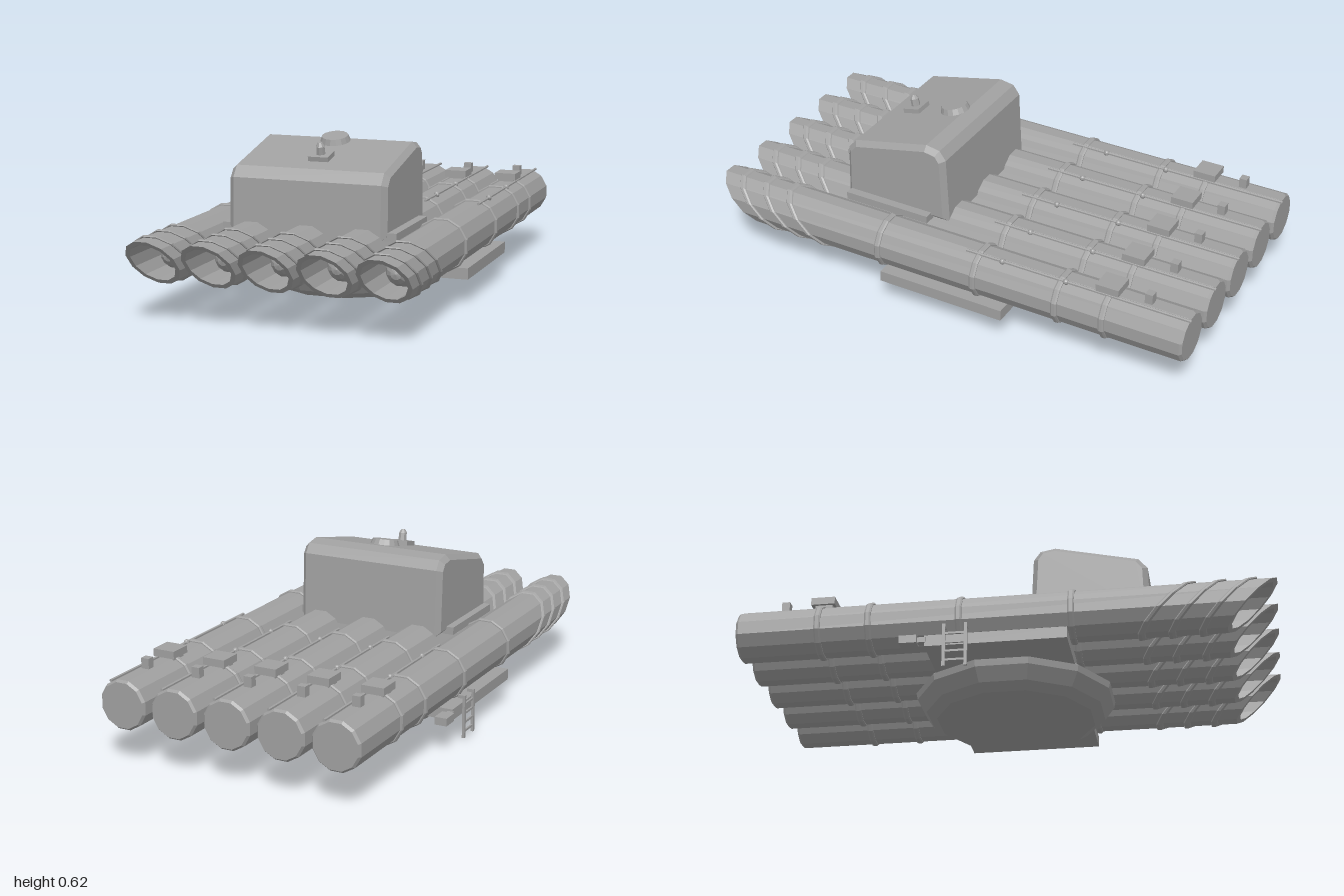
import * as THREE from 'three';

const SIDES = 12;
const TUBE_Y = 0.228;
const TUBE_XS = [-0.423, -0.209, 0.006, 0.221, 0.436];

export function createModel() {
  const model = new THREE.Group();
  const grey = new THREE.MeshStandardMaterial({ color: 0xa0a0a0, flatShading: true });
  grey.name = 'metal grey';

  const add = (parent, name, geo, x = 0, y = 0, z = 0) => {
    const mesh = new THREE.Mesh(geo, grey);
    mesh.name = name;
    mesh.position.set(x, y, z);
    parent.add(mesh);
    return mesh;
  };
  const box = (parent, name, x0, x1, y0, y1, z0, z1) => add(parent, name,
    new THREE.BoxGeometry(x1 - x0, y1 - y0, z1 - z0), (x0 + x1) / 2, (y0 + y1) / 2, (z0 + z1) / 2);

  // Lathe about the z axis; points are [radius, z], with a flat facet on top
  const latheZ = (pts) => new THREE.LatheGeometry(
    pts.map(([r, z]) => new THREE.Vector2(r, z)), SIDES, Math.PI / SIDES).rotateX(Math.PI / 2);

  // Shear by 45 degrees: higher points move forward, for z beyond a limit
  const slant = (geo, fromZ = -Infinity) => {
    const p = geo.attributes.position;
    for (let i = 0; i < p.count; i++) {
      if (p.getZ(i) > fromZ) p.setZ(i, p.getZ(i) + p.getY(i));
    }
    geo.computeVertexNormals();
    return geo;
  };
  const bandGeo = () => latheZ([[0.09, -0.012], [0.1, -0.012], [0.104, -0.006],
    [0.104, 0.006], [0.1, 0.012], [0.09, 0.012]]);

  // Launch tube: capped at the back, slanted open mouth at the front
  const tubeGeo = slant(latheZ([[0, -0.99], [0.088, -0.99], [0.096, -0.98], [0.096, 0.907],
    [0.08, 0.907], [0.08, 0.64], [0.064, 0.64]]), 0.85);

  // Rounded nose of the round inside the tube
  const nosePts = [];
  for (let i = 0; i <= 5; i++) {
    const a = (i / 5) * Math.PI / 2;
    nosePts.push([0.066 * Math.cos(a), 0.66 + 0.13 * Math.sin(a)]);
  }
  const noseGeo = latheZ([[0.066, 0.6], ...nosePts]);
  const straightBand = bandGeo();
  const slantedBand = slant(bandGeo());
  const rodGeo = new THREE.CylinderGeometry(0.006, 0.006, 0.9, 6).rotateX(Math.PI / 2);
  const jointGeo = new THREE.SphereGeometry(0.012, 8, 6);

  for (const x of TUBE_XS) {
    const g = new THREE.Group();
    g.name = 'launchTube';
    g.position.set(x, TUBE_Y, 0);
    model.add(g);
    add(g, 'tubeBody', tubeGeo);
    add(g, 'roundNose', noseGeo);
    for (const z of [0.258, -0.153, -0.49, -0.68]) add(g, 'band', straightBand, 0, 0, z);
    for (const z of [0.82, 0.71, 0.6]) add(g, 'slantedBand', slantedBand, 0, 0, z);
    // Control rod with joints along the top
    add(g, 'controlRod', rodGeo, 0.037, 0.092, -0.55);
    for (const z of [-0.25, -0.51]) add(g, 'rodJoint', jointGeo, 0.037, 0.092, z);
    // Control housings near the back
    box(g, 'housingFoot', -0.033, 0.033, 0.08, 0.108, -0.705, -0.64);
    box(g, 'housing', -0.044, 0.044, 0.1, 0.128, -0.72, -0.63);
    box(g, 'smallHousing', -0.016, 0.016, 0.08, 0.132, -0.84, -0.81);
  }

  // Cabin: side profile (z, y) extruded across x with chamfered edges
  const bevel = 0.02;
  const profile = new THREE.Shape([[0.51, 0.3], [0.505, 0.475], [0.48, 0.505], [0.175, 0.573],
    [0.13, 0.565], [0.112, 0.54], [0.1, 0.3]].map(([z, y]) => new THREE.Vector2(z, y)));
  const width = 0.612;
  const cabinGeo = new THREE.ExtrudeGeometry(profile, { depth: width - 2 * bevel,
    bevelEnabled: true, bevelSize: bevel, bevelThickness: bevel, bevelSegments: 1 });
  cabinGeo.translate(0, 0, bevel - width / 2).rotateY(-Math.PI / 2);
  // The turn maps profile z from +x to +z
  add(model, 'cabin', cabinGeo, 0.006);
  box(model, 'cabinBase', -0.33, 0.346, 0.28, 0.31, 0.15, 0.51);

  // Roof fittings lie on the sloping roof
  const roof = new THREE.Group();
  roof.name = 'roofFittings';
  roof.position.set(0.004, 0.56, 0.33);
  roof.rotation.x = 0.22;
  model.add(roof);
  add(roof, 'hatch', new THREE.CylinderGeometry(0.05, 0.058, 0.022, 16), 0, 0.014, -0.115);
  box(roof, 'sightPlate', -0.03, 0.048, 0, 0.018, 0.025, 0.095);
  add(roof, 'sightStem', new THREE.CylinderGeometry(0.016, 0.018, 0.04, 8), 0.009, 0.03, 0.06);
  add(roof, 'sightHead', new THREE.CylinderGeometry(0.008, 0.018, 0.015, 8), 0.009, 0.055, 0.06);

  // Turntable below the tubes
  const turntable = [[0, 0], [0.305, 0], [0.345, 0.025], [0.38, 0.075], [0.385, 0.1],
    [0.3, 0.155], [0, 0.155]].map(([r, y]) => new THREE.Vector2(r, y));
  add(model, 'turntable', new THREE.LatheGeometry(turntable, SIDES, Math.PI / SIDES), -0.012, 0, -0.015);
  box(model, 'platform', -0.525, 0.535, 0.1, 0.143, -0.275, 0.245);
  box(model, 'step', -0.543, -0.495, 0.11, 0.14, -0.365, -0.3);
  box(model, 'stepBracket', -0.53, -0.505, 0.115, 0.135, -0.3, -0.27);

  // Boarding ladder on the model's right side
  const ladder = new THREE.Group();
  ladder.name = 'ladder';
  model.add(ladder);
  for (const z of [-0.2, -0.12]) box(ladder, 'ladderRail', -0.543, -0.533, 0.01, 0.177, z - 0.006, z + 0.006);
  for (let i = 0; i < 4; i++) {
    const y = 0.035 + i * 0.035;
    box(ladder, 'ladderRung', -0.541, -0.534, y - 0.004, y + 0.004, -0.2, -0.12);
  }
  for (const z of [-0.2, -0.12]) box(ladder, 'ladderHook', -0.54, -0.515, 0.165, 0.177, z - 0.006, z + 0.006);
  return model;
}
